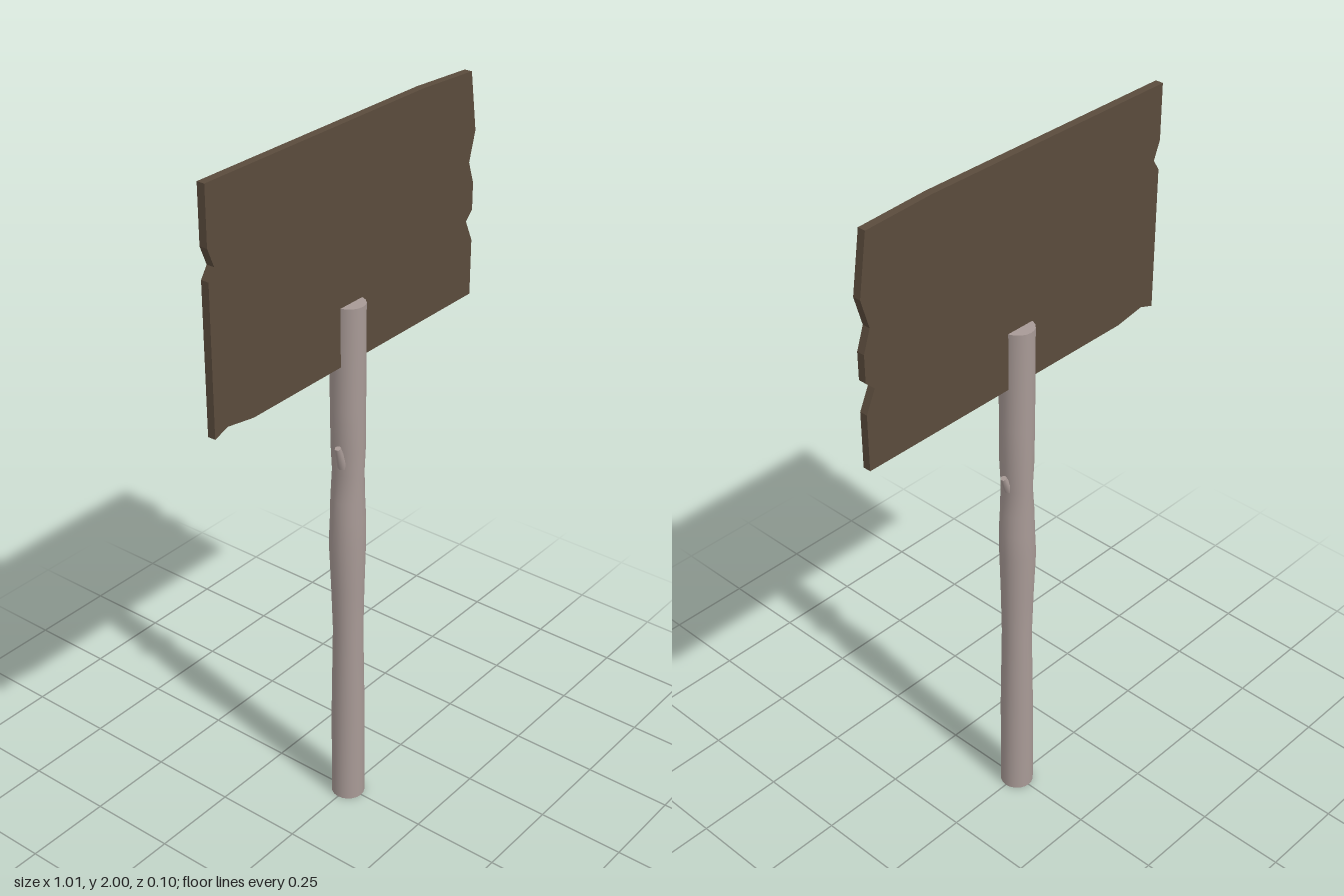
import * as THREE from 'three';

const postWood = new THREE.MeshStandardMaterial({ color: 0xa89a96 });
postWood.name = 'pale post wood';
const boardWood = new THREE.MeshStandardMaterial({ color: 0x5a4b3c });
boardWood.name = 'dark board wood';

function add(group, name, geometry, material) {
  const mesh = new THREE.Mesh(geometry, material);
  mesh.name = name;
  group.add(mesh);
  return mesh;
}

// Weathered board with chipped edges
function boardGeometry() {
  const outline = [
    [-0.505, 1.375], [-0.46, 1.39], [-0.37, 1.375], [0.505, 1.375],
    [0.505, 1.53], [0.477, 1.59], [0.503, 1.615], [0.503, 1.69],
    [0.482, 1.75], [0.505, 1.83], [0.48, 1.99], [0.28, 2],
    [-0.505, 2], [-0.505, 1.85], [-0.485, 1.8], [-0.505, 1.77],
  ].map(([x, y]) => new THREE.Vector2(x, y));
  const geometry = new THREE.ExtrudeGeometry(new THREE.Shape(outline), { depth: 0.022, bevelEnabled: false });
  return geometry.translate(0, 0, -0.011);
}

// Uneven post: each ring is [height, left x, right x, half depth]
function postGeometry() {
  const rings = [
    [0, -0.047, 0.046, 0.047], [0.3, -0.046, 0.045, 0.046],
    [0.56, -0.041, 0.04, 0.042], [0.7, -0.046, 0.042, 0.045],
    [0.84, -0.053, 0.046, 0.049], [0.92, -0.049, 0.047, 0.047],
    [0.98, -0.046, 0.042, 0.046], [1.06, -0.037, 0.037, 0.045],
    [1.13, -0.042, 0.042, 0.047], [1.25, -0.045, 0.043, 0.047],
    [1.535, -0.045, 0.043, 0.047],
  ];
  const last = rings.length - 1;
  const geometry = new THREE.CylinderGeometry(1, 1, last, 20, last);
  const p = geometry.attributes.position;
  for (let i = 0; i < p.count; i++) {
    const [y, left, right, depth] = rings[Math.round(p.getY(i) + last / 2)];
    p.setXYZ(i, (left + right) / 2 + p.getX(i) * (right - left) / 2, y, p.getZ(i) * depth);
  }
  geometry.computeVertexNormals();
  // Blend normals across the seam of the side wall
  const n = geometry.attributes.normal;
  for (let r = 0; r <= last; r++) {
    const a = r * 21, b = a + 20;
    const v = new THREE.Vector3().fromBufferAttribute(n, a)
      .add(new THREE.Vector3().fromBufferAttribute(n, b)).normalize();
    n.setXYZ(a, v.x, v.y, v.z);
    n.setXYZ(b, v.x, v.y, v.z);
  }
  return geometry;
}

// Broken twig stub running from one point to another
function addTwig(group, name, from, to, baseRadius, tipRadius) {
  const a = new THREE.Vector3(...from), b = new THREE.Vector3(...to);
  const direction = b.clone().sub(a);
  const geometry = new THREE.CylinderGeometry(tipRadius, baseRadius, direction.length(), 8);
  const twig = add(group, name, geometry, postWood);
  twig.position.copy(a).add(b).multiplyScalar(0.5);
  twig.quaternion.setFromUnitVectors(new THREE.Vector3(0, 1, 0), direction.normalize());
}

export function createModel() {
  const sign = new THREE.Group();
  sign.name = 'wooden sign';
  add(sign, 'board', boardGeometry(), boardWood);
  add(sign, 'post', postGeometry(), postWood);
  addTwig(sign, 'rightTwig', [-0.03, 1.085, 0.006], [-0.055, 1.15, 0.01], 0.014, 0.008);
  addTwig(sign, 'leftTwig', [0.028, 1.06, 0], [0.049, 1.105, 0], 0.014, 0.008);
  return sign;
}
